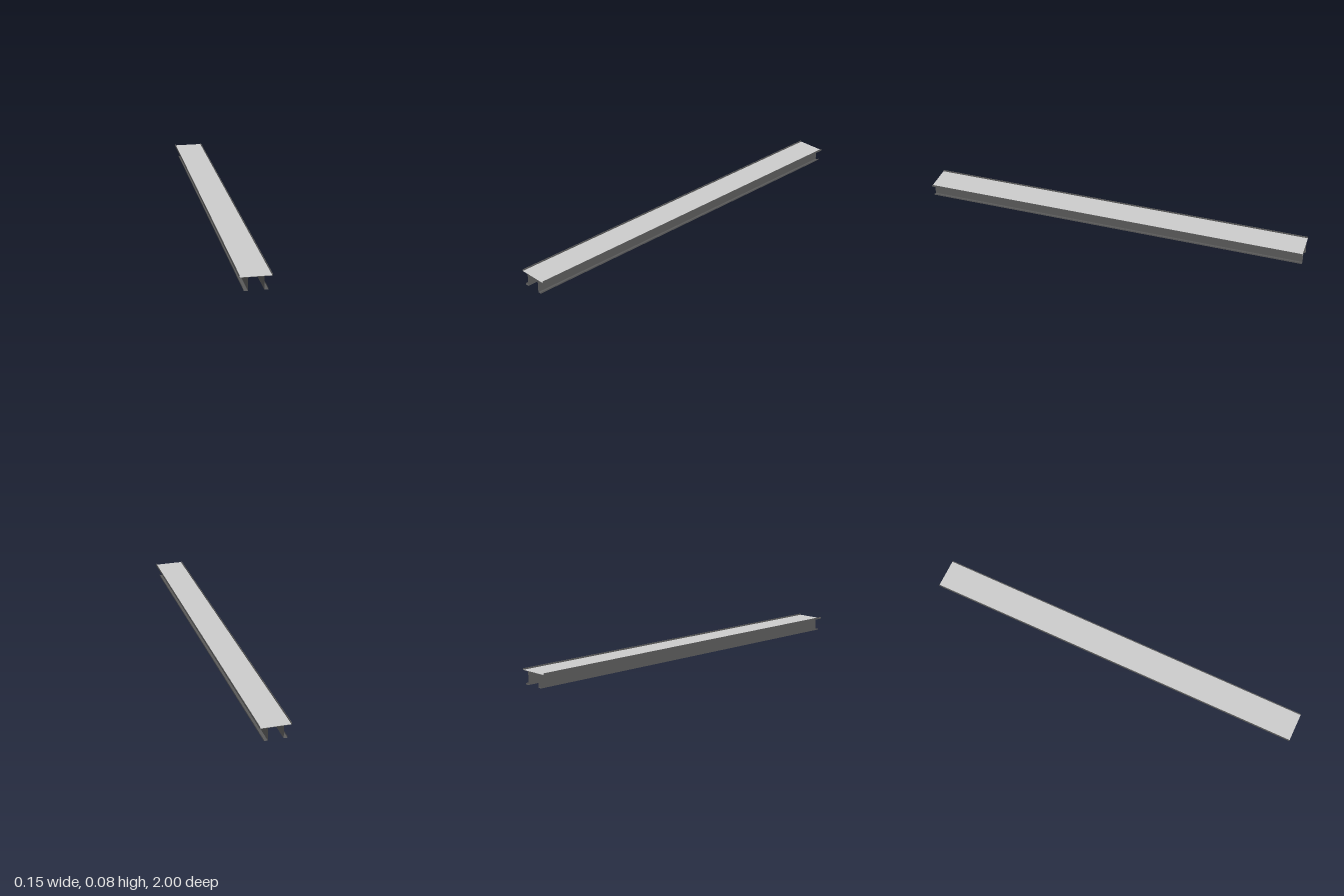
import * as THREE from 'three';

const grey = new THREE.MeshStandardMaterial({ color: 0xcccccc, side: THREE.DoubleSide, flatShading: true });
const dark = new THREE.MeshStandardMaterial({ color: 0x595959, side: THREE.DoubleSide, flatShading: true });
const LENGTH = 2;

// Sweeps an open [x, y] profile along z as folded sheet metal with open ends
function sheet(name, material, profile) {
  const positions = [];
  for (let i = 0; i < profile.length - 1; i++) {
    const [ax, ay] = profile[i], [bx, by] = profile[i + 1];
    const f = LENGTH / 2, b = -f;
    positions.push(ax, ay, f, bx, by, f, bx, by, b, ax, ay, f, bx, by, b, ax, ay, b);
  }
  const geometry = new THREE.BufferGeometry();
  geometry.setAttribute('position', new THREE.Float32BufferAttribute(positions, 3));
  geometry.computeVertexNormals();
  const mesh = new THREE.Mesh(geometry, material);
  mesh.name = name;
  return mesh;
}

export function createModel() {
  const group = new THREE.Group();
  group.name = 'channelBeam';

  // Light deck panel lying in a dark tray with narrow hemmed edges
  group.add(sheet('deckPanel', grey, [[-0.074, 0.068], [0.074, 0.068]]));
  group.add(sheet('tray', dark, [
    [-0.074, 0.075], [-0.077, 0.075], [-0.077, 0.066], [0.077, 0.066], [0.077, 0.075], [0.074, 0.075],
  ]));

  // Two webs, each ending in an outward foot with a small lip
  for (const [name, s] of [['leftRail', 1], ['rightRail', -1]]) {
    const profile = [[0.038, 0.066], [0.038, 0], [0.057, 0], [0.057, 0.007]].map(([x, y]) => [s * x, y]);
    group.add(sheet(name, dark, profile));
  }
  return group;
}
